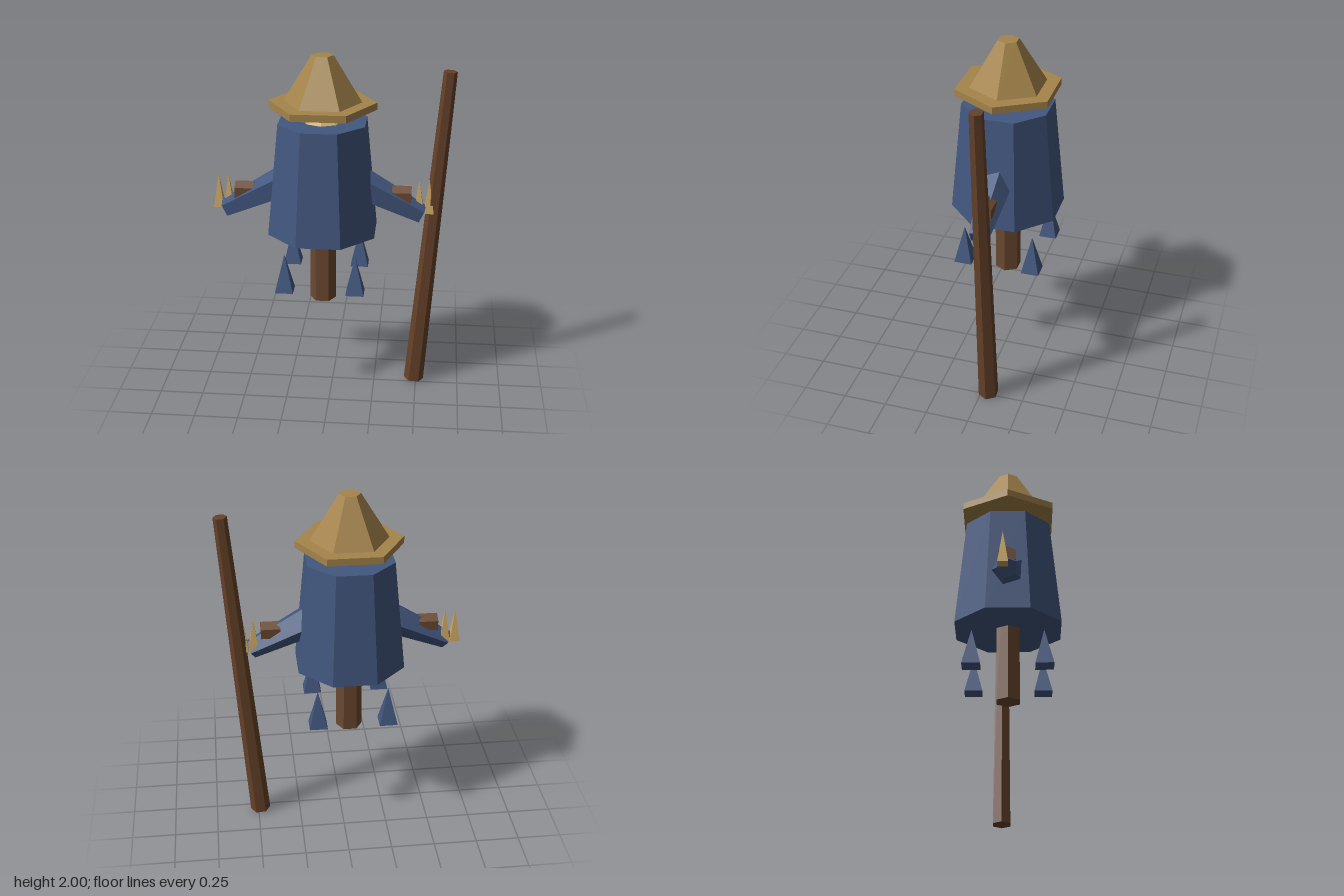
import * as THREE from 'three';

const mat = (name, color) => {
  const m = new THREE.MeshStandardMaterial({ color, flatShading: true });
  m.name = name;
  return m;
};

export function createModel() {
  const cloth = mat('blue cloth', 0x42577f);
  const straw = mat('hat straw', 0xa5844a);
  const paleStraw = mat('pale straw', 0xcaa766);
  const wood = mat('wood', 0x6b482f);
  const staffWood = mat('staff wood', 0x654129);

  const model = new THREE.Group();
  model.name = 'scarecrow';
  const figure = new THREE.Group(); // everything symmetric sits on this axis
  figure.name = 'figure';
  figure.position.x = -0.055;
  model.add(figure);

  const add = (parent, name, geo, material, x = 0, y = 0, z = 0) => {
    const m = new THREE.Mesh(geo, material);
    m.name = name;
    m.position.set(x, y, z);
    parent.add(m);
    return m;
  };
  // Upright faceted frustum between two heights
  const frustum = (name, rTop, rBottom, y0, y1, sides, turn, material, x = 0, z = 0, parent = figure) =>
    add(parent, name, new THREE.CylinderGeometry(rTop, rBottom, y1 - y0, sides).rotateY(turn),
      material, x, (y0 + y1) / 2, z);
  // Faceted frustum between two points in the front plane
  const limb = (parent, name, a, b, rA, rB, sides, turn, material, z) => {
    const from = new THREE.Vector3(...a, z), to = new THREE.Vector3(...b, z);
    const dir = to.clone().sub(from);
    const geo = new THREE.CylinderGeometry(rB, rA, dir.length(), sides).rotateY(turn);
    const mid = from.add(to).multiplyScalar(0.5);
    const m = add(parent, name, geo, material, mid.x, mid.y, mid.z);
    m.quaternion.setFromUnitVectors(new THREE.Vector3(0, 1, 0), dir.normalize());
    return m;
  };

  // Post, robe and straw neck
  frustum('post', 0.075, 0.075, 0.55, 1.72, 6, Math.PI / 6, wood);
  frustum('robe', 0.26, 0.325, 0.985, 1.63, 8, Math.PI / 8, cloth);
  frustum('strawNeck', 0.06, 0.12, 1.625, 1.665, 8, 0, paleStraw);

  // Hat
  frustum('hatBrim', 0.3, 0.3, 1.7, 1.74, 6, Math.PI / 6, straw);
  frustum('hatCrown', 0.06, 0.218, 1.74, 2.0, 6, Math.PI / 6, straw);

  // Sleeve, cuff and straw fingers on each side
  for (const s of [-1, 1]) {
    const arm = new THREE.Group();
    arm.name = s > 0 ? 'leftArm' : 'rightArm';
    figure.add(arm);
    limb(arm, 'sleeve', [s * 0.19, 1.273], [s * 0.561, 1.09], 0.101, 0.058, 5, Math.PI, cloth, 0);
    const cuff = new THREE.CylinderGeometry(0.056, 0.056, 0.108, 6).rotateZ(Math.PI / 2);
    cuff.rotateX(Math.PI / 2);
    add(arm, 'cuff', cuff, wood, s * 0.446, 1.203, -0.003);
    for (const x of [0.543, 0.6])
      frustum('strawFinger', 0, 0.041, 1.095, 1.29, 4, Math.PI / 4, paleStraw, s * x, -0.024, arm);
  }

  // Hanging cloth scraps under the robe
  for (const x of [-0.2, 0.2])
    for (const z of [-0.2, 0.2])
      frustum('clothScrap', 0, 0.0725, 0.68, 0.9, 4, Math.PI / 4, cloth, x, z);

  // Leaning staff
  limb(model, 'staff', [0.488, 0.006], [0.638, 1.914], 0.058, 0.038, 6, Math.PI / 6, staffWood, -0.042);

  return model;
}
